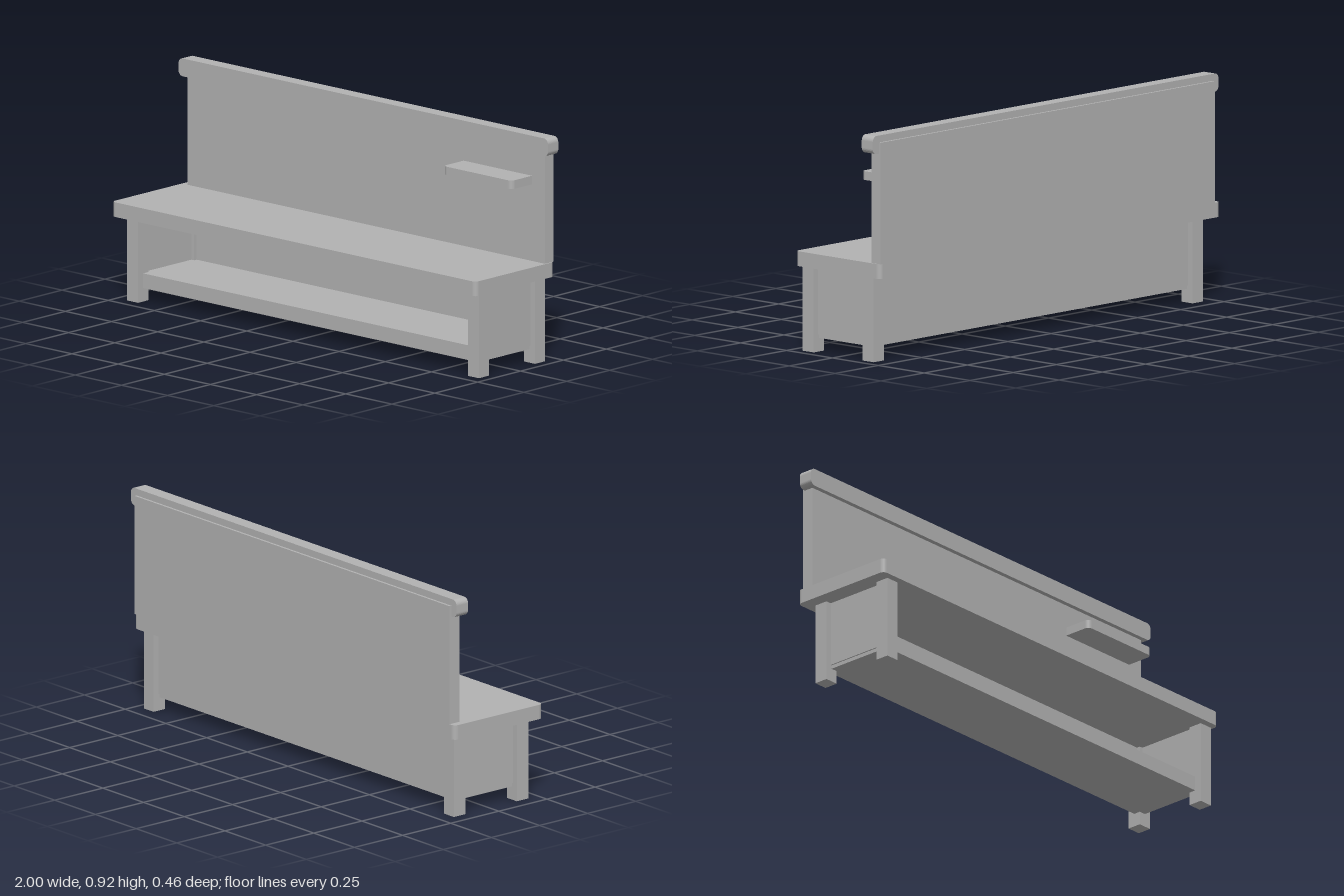
import * as THREE from 'three';

const grey = new THREE.MeshStandardMaterial({ color: 0xb2b2b2 });
grey.name = 'grey';

// Box given by its limits on each axis
function box(name, x0, x1, y0, y1, z0, z1) {
  const mesh = new THREE.Mesh(new THREE.BoxGeometry(x1 - x0, y1 - y0, z1 - z0), grey);
  mesh.position.set((x0 + x1) / 2, (y0 + y1) / 2, (z0 + z1) / 2);
  mesh.name = name;
  return mesh;
}

// Slab extruded along z from a rectangle; rTop and rBottom round its corners
function slab(name, x0, x1, y0, y1, depth, rTop, rBottom) {
  const s = new THREE.Shape();
  s.moveTo(x0 + rBottom, y0);
  s.lineTo(x1 - rBottom, y0);
  if (rBottom) s.absarc(x1 - rBottom, y0 + rBottom, rBottom, -Math.PI / 2, 0);
  s.lineTo(x1, y1 - rTop);
  s.absarc(x1 - rTop, y1 - rTop, rTop, 0, Math.PI / 2);
  s.lineTo(x0 + rTop, y1);
  s.absarc(x0 + rTop, y1 - rTop, rTop, Math.PI / 2, Math.PI);
  s.lineTo(x0, y0 + rBottom);
  if (rBottom) s.absarc(x0 + rBottom, y0 + rBottom, rBottom, Math.PI, Math.PI * 1.5);
  const geometry = new THREE.ExtrudeGeometry(s, { depth, bevelEnabled: false, curveSegments: 6 });
  const mesh = new THREE.Mesh(geometry, grey);
  mesh.name = name;
  return mesh;
}

// Horizontal slab: the outline lies in plan, with its top edge at the front
function board(name, x0, x1, y0, y1, z0, z1, rFront, rBack) {
  const mesh = slab(name, x0, x1, z0, z1, y1 - y0, rFront, rBack);
  mesh.rotation.x = Math.PI / 2;
  mesh.position.y = y1;
  return mesh;
}

export function createModel() {
  const bench = new THREE.Group();
  bench.name = 'bench';

  // Seat, backrest and rounded top rail
  bench.add(board('seat', -1, 0.97, 0.34, 0.4, -0.23, 0.23, 0.02, 0.02));
  bench.add(box('backrest', -0.97, 0.965, 0.4, 0.89, -0.23, -0.18));
  const rail = slab('topRail', -1, 1, 0.845, 0.918, 0.06, 0.022, 0.022);
  rail.position.z = -0.22;
  bench.add(rail);

  // Small ledge on the backrest
  bench.add(board('ledge', 0.525, 0.895, 0.713, 0.748, -0.18, -0.06, 0.02, 0));

  // Four legs
  for (const [x, side] of [[-0.945, 'right'], [0.9, 'left']]) {
    bench.add(box(side + 'FrontLeg', x, x + 0.06, 0, 0.34, 0.14, 0.2));
    bench.add(box(side + 'BackLeg', x, x + 0.06, 0, 0.34, -0.187, -0.127));
  }

  // Lower shelf with panels closing the sides and the back
  bench.add(box('lowerShelf', -0.915, 0.93, 0.055, 0.115, -0.157, 0.17));
  bench.add(box('backPanel', -0.915, 0.93, 0.07, 0.34, -0.162, -0.142));
  bench.add(box('rightPanel', -0.92, -0.9, 0.07, 0.34, -0.14, 0.16));
  bench.add(box('leftPanel', 0.915, 0.935, 0.07, 0.34, -0.14, 0.16));

  return bench;
}
